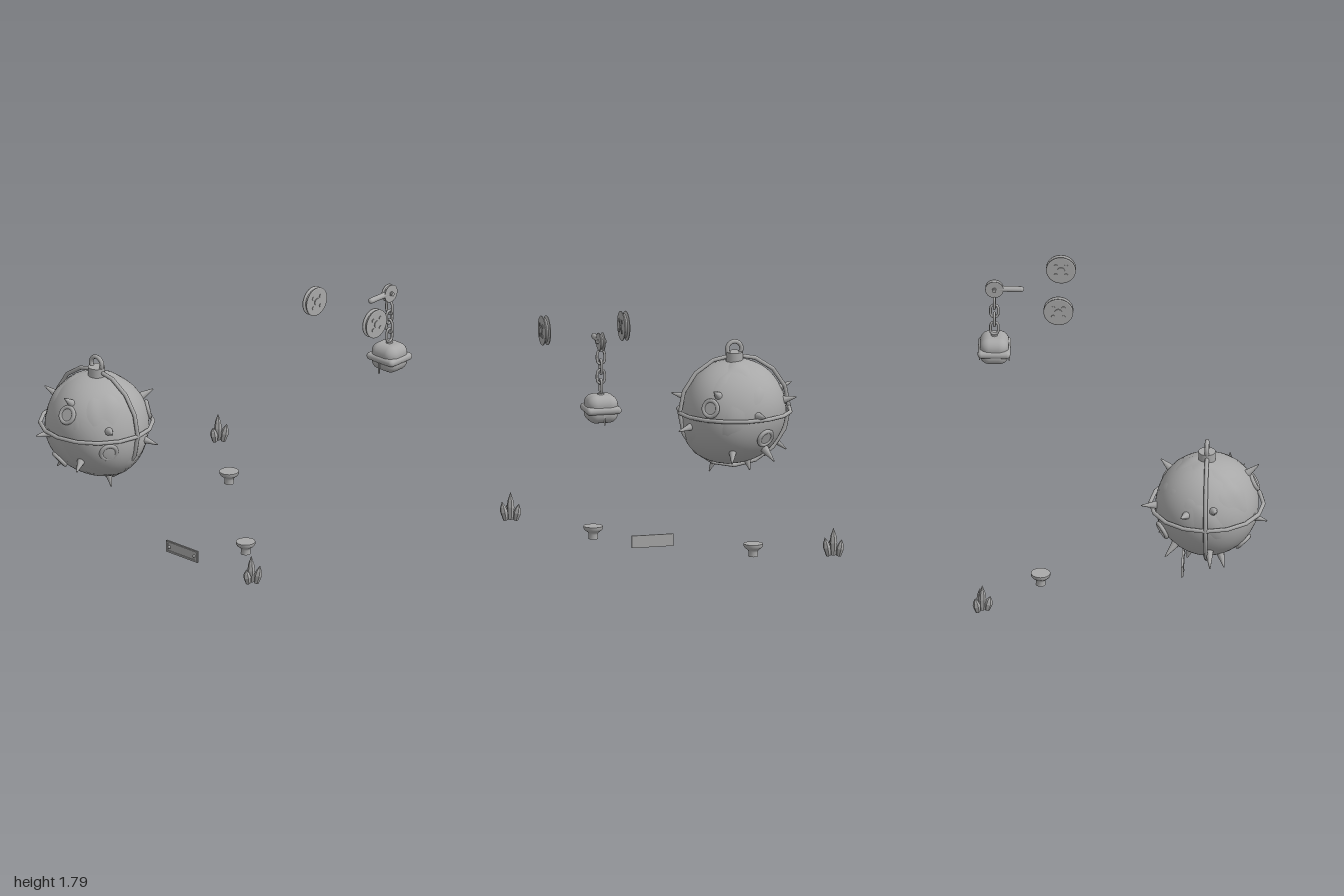
import * as THREE from 'three';
import { RoundedBoxGeometry } from 'three/addons/geometries/RoundedBoxGeometry.js';

const grey = new THREE.MeshStandardMaterial({ color: 0xa8a8a8 });
grey.name = 'plain grey';
const UP = new THREE.Vector3(0, 1, 0);
const FRONT = new THREE.Vector3(0, 0, 1);

function add(parent, name, geometry, x = 0, y = 0, z = 0) {
  const mesh = new THREE.Mesh(geometry, grey);
  mesh.name = name;
  mesh.position.set(x, y, z);
  parent.add(mesh);
  return mesh;
}

function group(parent, name, x, y, z) {
  const g = new THREE.Group();
  g.name = name;
  g.position.set(x, y, z);
  parent.add(g);
  return g;
}

const lathe = (points, sides) =>
  new THREE.LatheGeometry(points.map(([r, y]) => new THREE.Vector2(r, y)), sides);

// Sphere whose radius follows a rule of direction
function lumpySphere(rule) {
  const geo = new THREE.SphereGeometry(1, 64, 40);
  const pos = geo.attributes.position;
  const v = new THREE.Vector3();
  for (let i = 0; i < pos.count; i++) {
    v.fromBufferAttribute(pos, i).normalize();
    v.multiplyScalar(rule(v));
    pos.setXYZ(i, v.x, v.y, v.z);
  }
  geo.computeVertexNormals();
  return geo;
}

function buildBall(root) {
  const ball = group(root, 'spikedBall', -0.59, 0.85, 0.57);
  const bulge = (v) => 0.036 * Math.max(0, 0.72 * v.x - 0.69 * v.y) ** 3;
  add(ball, 'ballBody', lumpySphere((v) => 0.342 + bulge(v)
    + 0.006 * Math.sin(4 * v.x + 1) * Math.cos(3 * v.y - 2 * v.z)));
  // Crust patches break through the body
  add(ball, 'crustPatches', lumpySphere((v) => 0.337 + bulge(v)
    + 0.009 * Math.sin(5 * v.x + 3 * v.z) * Math.sin(4 * v.y + 2 * v.z + 1)
    + 0.004 * Math.sin(13 * v.x + 4 * v.y) * Math.cos(11 * v.z)));

  // Cage rings
  const ring = new THREE.TorusGeometry(0.372, 0.014, 8, 16);
  add(ball, 'verticalRing', ring);
  add(ball, 'equatorRing', ring).rotation.x = Math.PI / 2;

  // Top mount and eye
  add(ball, 'topMount', new THREE.CylinderGeometry(0.057, 0.057, 0.07, 20), 0, 0.358);
  add(ball, 'liftingEye', new THREE.TorusGeometry(0.049, 0.015, 8, 16), 0, 0.413);

  // Spikes, given by their tips
  const tips = [
    [0.03, 0.28, 0.34], [0.365, 0.085, 0.235], [0.415, -0.09, -0.145],
    [0.15, -0.21, 0.35], [0.163, -0.41, 0.03], [-0.24, -0.35, 0.12],
    [-0.07, -0.38, -0.13], [-0.36, -0.29, 0.03], [-0.17, -0.03, 0.40],
    [-0.405, 0.155, 0.065], [-0.38, 0.1, -0.16], [-0.1, 0.03, -0.43],
    [0.1, -0.29, -0.32], [0.22, 0.2, -0.31], [-0.2, -0.3, -0.27],
  ];
  for (const tip of tips) {
    const dir = new THREE.Vector3(...tip);
    const len = dir.length() - 0.32;
    dir.normalize();
    const spike = add(ball, 'spike', new THREE.CylinderGeometry(0.004, 0.032, len, 10));
    spike.position.copy(dir).multiplyScalar(0.32 + len / 2);
    spike.quaternion.setFromUnitVectors(UP, dir);
  }

  // Round ports with a raised rim
  const ports = [
    [0.03, 0.155, 0.32], [-0.11, -0.235, 0.25], [0.293, -0.085, 0.19],
    [0.24, 0.08, -0.265], [-0.14, -0.14, -0.3],
  ];
  for (const p of ports) {
    const dir = new THREE.Vector3(...p).normalize();
    const port = group(ball, 'port', 0, 0, 0);
    port.position.copy(dir).multiplyScalar(0.348);
    port.quaternion.setFromUnitVectors(FRONT, dir);
    add(port, 'portRim', new THREE.TorusGeometry(0.052, 0.014, 8, 24));
    add(port, 'portDisc', new THREE.CylinderGeometry(0.05, 0.05, 0.025, 24), 0, 0, -0.008)
      .rotation.x = Math.PI / 2;
  }
}

// Grooved wheel turning about x
function buildPulley(parent, name, x, y, z, r, w, bolts) {
  const wheel = group(parent, name, x, y, z);
  const a = w / 2;
  wheel.rotation.z = Math.PI / 2;
  const profile = [[0, -a], [r * 0.93, -a], [r, -a * 0.9], [r, -a * 0.7], [r * 0.84, -a * 0.25],
    [r * 0.84, a * 0.25], [r, a * 0.7], [r, a * 0.9], [r * 0.93, a], [0, a]];
  // Doubled points keep the flange edges crisp
  const crisp = profile.flatMap((p, i) => (i === 0 || i === profile.length - 1 ? [p] : [p, p]));
  add(wheel, name + 'Rim', lathe(crisp, 32));
  add(wheel, name + 'Hub', new THREE.CylinderGeometry(r * 0.26, r * 0.26, w + 0.012, 16));
  for (let i = 0; i < bolts; i++) {
    const t = Math.PI / 4 + (i * Math.PI * 2) / bolts;
    add(wheel, 'wheelBolt', new THREE.CylinderGeometry(0.013, 0.013, w + 0.008, 10),
      0.048 * Math.cos(t), 0, 0.048 * Math.sin(t));
  }
}

// Oval chain link made from a closed curve
function linkGeometry() {
  const points = [];
  for (let i = 0; i < 16; i++) {
    const t = (i / 16) * Math.PI * 2;
    const s = Math.sin(t);
    points.push(new THREE.Vector3(0.026 * Math.cos(t), 0.026 * s + 0.02 * Math.tanh(3 * s), 0));
  }
  return new THREE.TubeGeometry(new THREE.CatmullRomCurve3(points, true), 28, 0.009, 8, true);
}

function buildHoist(root) {
  const hoist = group(root, 'hoist', 0.7, 0, -0.87);
  buildPulley(hoist, 'chainPulley', 0, 1.697, 0, 0.06, 0.036, 0);
  add(hoist, 'axle', new THREE.CylinderGeometry(0.013, 0.013, 0.07, 12), 0, 1.697, 0)
    .rotation.z = Math.PI / 2;
  add(hoist, 'lever', new THREE.CapsuleGeometry(0.019, 0.16, 6, 14), 0, 1.697, 0.096)
    .rotation.x = Math.PI / 2;
  const link = linkGeometry();
  for (let i = 0; i < 4; i++) {
    add(hoist, 'chainLink', link, 0, 1.594 - 0.0655 * i, 0).rotation.y = (i % 2) * Math.PI / 2;
  }
  // Weight with a band and two thin tabs
  add(hoist, 'weightBody', new RoundedBoxGeometry(0.21, 0.186, 0.19, 5, 0.062), 0, 1.25, 0);
  add(hoist, 'weightBand', new RoundedBoxGeometry(0.236, 0.05, 0.215, 4, 0.024), 0, 1.247, 0);
  add(hoist, 'weightCap', new THREE.CylinderGeometry(0.02, 0.026, 0.02, 12), 0, 1.342, 0);
  for (const s of [-1, 1]) {
    add(hoist, 'weightTab', new THREE.BoxGeometry(0.01, 0.075, 0.008), 0, 1.19, s * 0.098);
  }
}

// Six-sided crystal tapering at both ends
function crystal(parent, h, r, x, z, lean) {
  const geo = lathe([[0, 0], [r * 0.65, 0], [r, h * 0.45], [r * 0.75, h * 0.7], [0, h]], 6)
    .toNonIndexed();
  geo.computeVertexNormals();
  const mesh = add(parent, 'crystal', geo, x, 0, z);
  mesh.quaternion.setFromUnitVectors(UP, new THREE.Vector3(x * lean, 1, z * lean).normalize());
}

function buildCrystals(root, x, y, z) {
  const cluster = group(root, 'crystalCluster', x, y, z);
  crystal(cluster, 0.185, 0.026, 0, 0, 0);
  crystal(cluster, 0.115, 0.026, -0.027, -0.028, 6);
  crystal(cluster, 0.13, 0.026, 0.036, -0.01, 6);
  crystal(cluster, 0.105, 0.027, 0.002, 0.032, 6);
}

function buildPlate(root) {
  const plate = group(root, 'wallPlate', 0.015, 0.041, 0.39);
  add(plate, 'plateBack', new THREE.BoxGeometry(0.282, 0.082, 0.01));
  const outline = (w, h) => [[-w, -h], [w, -h], [w, h], [-w, h]]
    .map(([px, py]) => new THREE.Vector2(px, py));
  const frame = new THREE.Shape(outline(0.136, 0.036));
  frame.holes.push(new THREE.Path(outline(0.124, 0.026).reverse()));
  add(plate, 'plateFrame', new THREE.ExtrudeGeometry(frame, { depth: 0.005, bevelEnabled: false }),
    0, 0, 0.005);
  for (const s of [-1, 1]) {
    add(plate, 'plateRivet', new THREE.SphereGeometry(0.011, 12, 8), s * 0.112, 0, 0.006);
  }
}

export function createModel() {
  const root = new THREE.Group();
  root.name = 'model';
  buildBall(root);
  for (const x of [0.43, 0.97]) buildPulley(root, 'largeWheel', x, 1.695, -0.44, 0.098, 0.042, 4);
  buildHoist(root);
  buildCrystals(root, -0.875, 0.175, -0.9);
  buildCrystals(root, 0.905, 0.175, 0.675);

  // Flared stands
  const stand = lathe([[0, 0], [0.033, 0], [0.033, 0], [0.03, 0.03], [0.036, 0.044], [0.056, 0.058],
    [0.064, 0.07], [0.064, 0.086], [0.064, 0.086], [0, 0.086]], 24);
  add(root, 'flaredStand', stand, -0.427, 0.112, -0.53);
  add(root, 'flaredStand', stand, 0.455, 0.112, 0.25);
  buildPlate(root);
  return root;
}
